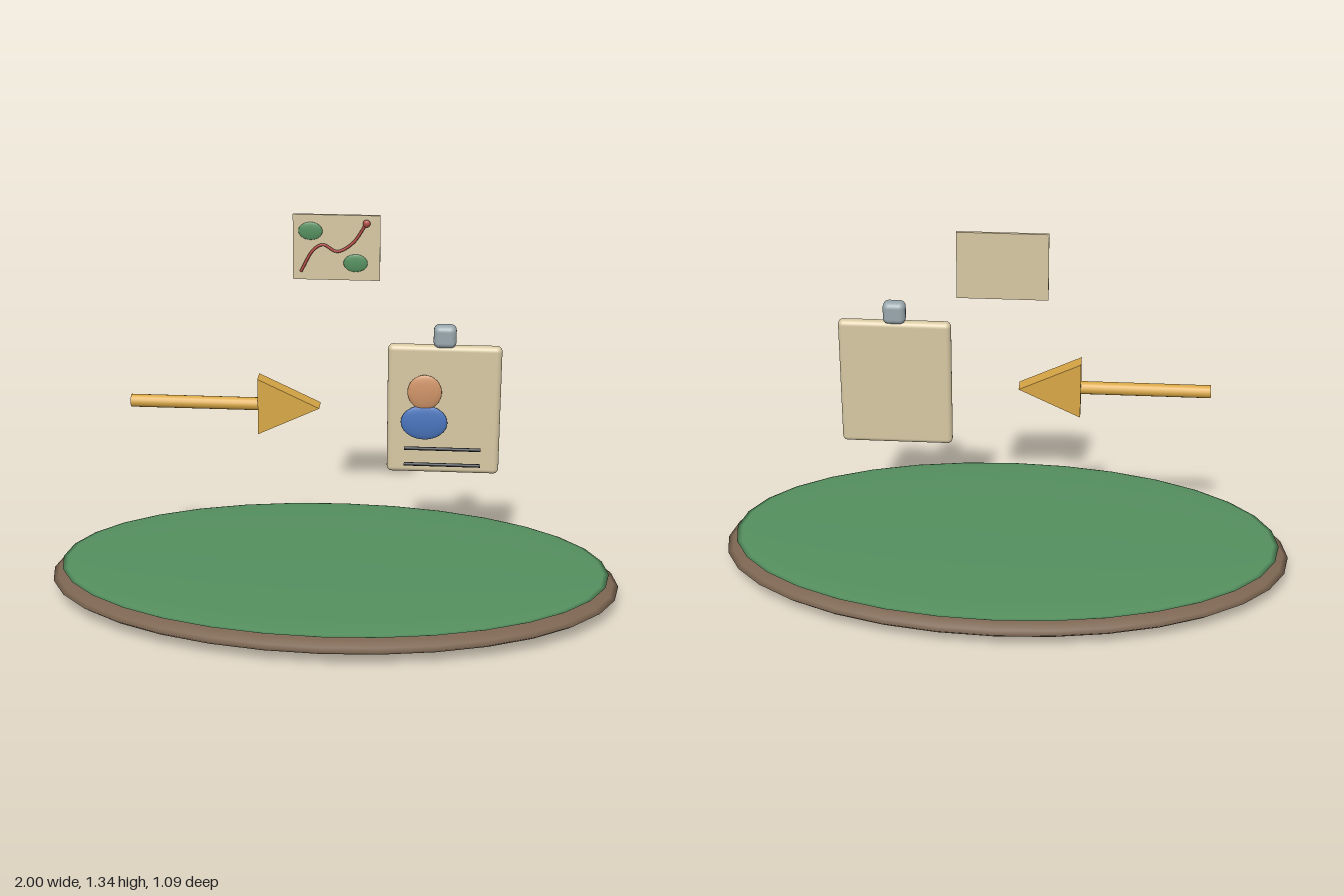
import * as THREE from 'three';
import { RoundedBoxGeometry } from 'three/addons/geometries/RoundedBoxGeometry.js';

const mat = (color) => new THREE.MeshStandardMaterial({ color });
const earth = mat(0x7d6652), green = mat(0x55905f), cream = mat(0xd8c9a4), gold = mat(0xd9a847);
const skin = mat(0xcf9468), blue = mat(0x4a75bd), steel = mat(0x9aa8ae), ink = mat(0x2a2d32), red = mat(0xb04c44);

export function createModel() {
  const model = new THREE.Group();

  const add = (parent, name, geometry, material, x, y, z) => {
    const mesh = new THREE.Mesh(geometry, material);
    mesh.name = name;
    mesh.position.set(x, y, z);
    parent.add(mesh);
    return mesh;
  };
  const ellipsoid = (parent, name, material, [x, y, z], radii, w = 24, h = 16) =>
    add(parent, name, new THREE.SphereGeometry(1, w, h), material, x, y, z).scale.set(...radii);
  const group = (name) => {
    const g = new THREE.Group();
    g.name = name;
    model.add(g);
    return g;
  };

  // Oval ground: an earth lens with a thin grass lens on top
  const ground = group('ground');
  ellipsoid(ground, 'earthBase', earth, [0, 0.06, 0], [1, 0.06, 0.545], 32, 16);
  ellipsoid(ground, 'grassTop', green, [0, 0.105, 0], [0.965, 0.017, 0.525], 32, 16);

  // Arrow: round shaft and triangular prism head
  const arrow = group('arrow');
  add(arrow, 'arrowShaft', new THREE.CylinderGeometry(0.022, 0.022, 0.45, 16), gold, -0.47, 0.71, 0)
    .rotation.z = Math.PI / 2;
  const triangle = new THREE.Shape([
    new THREE.Vector2(0, -0.1), new THREE.Vector2(0.21, 0), new THREE.Vector2(0, 0.1),
  ]);
  add(arrow, 'arrowHead', new THREE.ExtrudeGeometry(triangle, { depth: 0.06, bevelEnabled: false }),
    gold, -0.256, 0.71, -0.03);

  // Identity badge with clip, portrait and two text bars
  const badge = group('badge');
  add(badge, 'badgeCard', new RoundedBoxGeometry(0.382, 0.46, 0.04, 4, 0.018), cream, 0.375, 0.71, 0);
  add(badge, 'badgeClip', new RoundedBoxGeometry(0.076, 0.078, 0.054, 4, 0.02), steel, 0.374, 0.972, 0);
  ellipsoid(badge, 'portraitHead', skin, [0.31, 0.783, 0.038], [0.058, 0.062, 0.012]);
  ellipsoid(badge, 'portraitBody', blue, [0.31, 0.674, 0.038], [0.079, 0.062, 0.012]);
  for (const y of [0.58, 0.522]) {
    add(badge, 'badgeBar', new THREE.CylinderGeometry(0.006, 0.006, 0.26, 10), ink, 0.374, y, 0.043)
      .rotation.z = Math.PI / 2;
  }

  // Floating map with two green patches and a winding route
  const map = group('map');
  add(map, 'mapSheet', new THREE.BoxGeometry(0.296, 0.228, 0.01), cream, -0.002, 1.222, -0.165);
  for (const [x, y] of [[-0.09, 1.28], [0.063, 1.17]]) {
    ellipsoid(map, 'mapPatch', green, [x, y, -0.156], [0.041, 0.031, 0.006]);
  }
  const route = new THREE.CatmullRomCurve3([
    [-0.123, 1.138], [-0.08, 1.215], [-0.047, 1.234], [0, 1.211], [0.052, 1.24], [0.1, 1.311],
  ].map(([x, y]) => new THREE.Vector3(x, y, -0.152)));
  add(map, 'mapRoute', new THREE.TubeGeometry(route, 40, 0.005, 8), red, 0, 0, 0);
  ellipsoid(map, 'routeEnd', red, [0.1, 1.311, -0.15], [0.013, 0.013, 0.008], 16, 12);

  return model;
}
